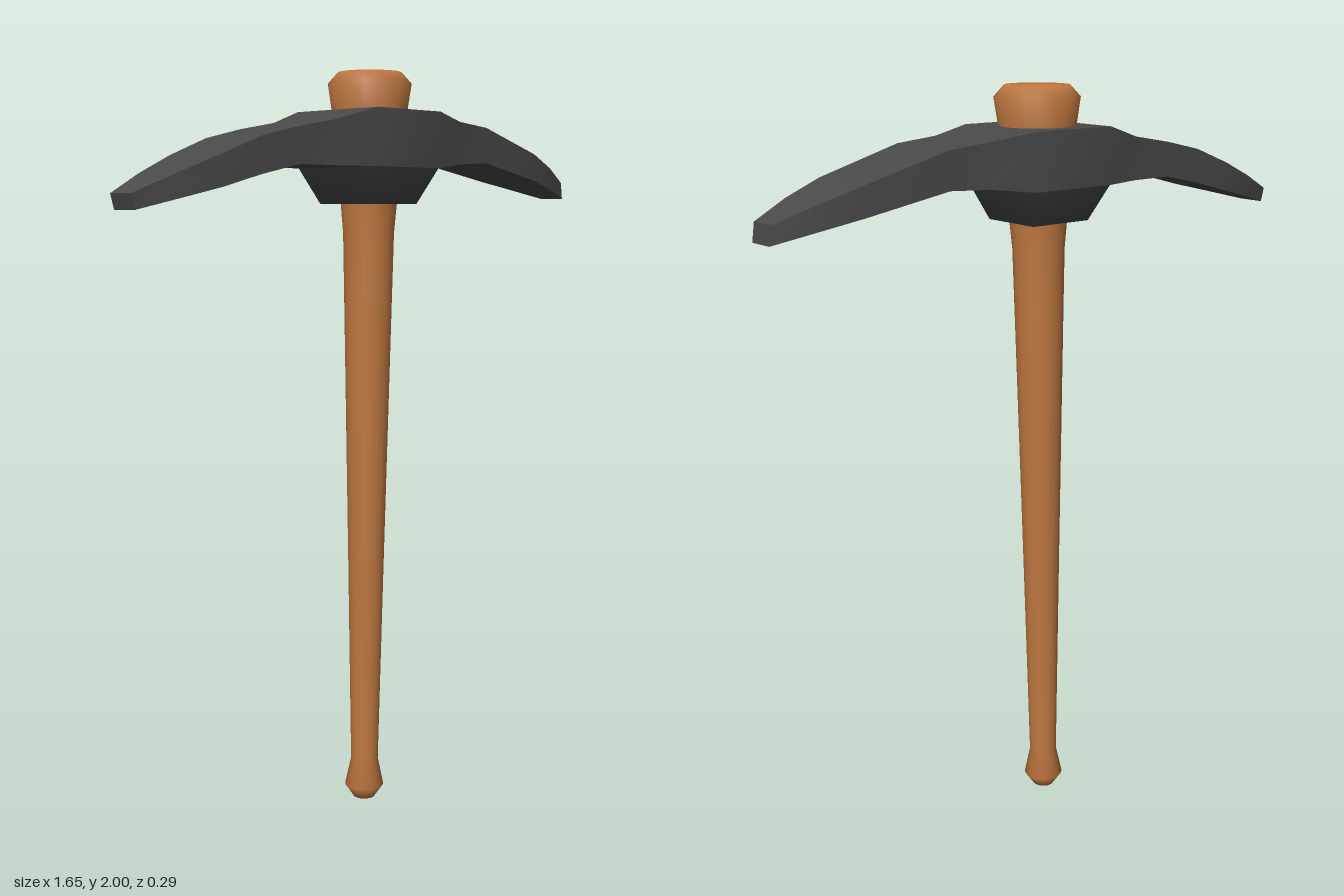
import * as THREE from 'three';
import { toCreasedNormals } from 'three/addons/utils/BufferGeometryUtils.js';

const wood = new THREE.MeshStandardMaterial({ color: 0xbf7840 });
wood.name = 'wood';
const iron = new THREE.MeshStandardMaterial({ color: 0x4a4a4a });
iron.name = 'iron';

// Skin a row of four-cornered rings, closing both ends
function loft(rings, creaseAngle) {
  const pos = [];
  const quad = (a, b, c, d) => pos.push(...a, ...b, ...c, ...a, ...c, ...d);
  for (let i = 0; i < rings.length - 1; i++) {
    const p = rings[i], q = rings[i + 1];
    for (let k = 0; k < 4; k++) {
      const n = (k + 1) % 4;
      quad(p[k], q[k], q[n], p[n]);
    }
  }
  quad(...rings[0]);
  quad(...[...rings[rings.length - 1]].reverse());
  const geo = new THREE.BufferGeometry();
  geo.setAttribute('position', new THREE.Float32BufferAttribute(pos, 3));
  return toCreasedNormals(geo, creaseAngle);
}

function addMesh(group, name, geo, material) {
  const mesh = new THREE.Mesh(geo, material);
  mesh.name = name;
  group.add(mesh);
}

export function createModel() {
  const group = new THREE.Group();
  group.name = 'pickaxe';

  // Turned handle with a pommel and a flared top, leaning slightly along x
  const profile = [
    [0, 0], [0.03, 0], [0.054, 0.035], [0.038, 0.11], [0.05, 0.7], [0.065, 1.4],
    [0.069, 1.58], [0.078, 1.68], [0.1, 1.89], [0.112, 1.97], [0.085, 2], [0, 2],
  ].map(([r, y]) => new THREE.Vector2(r, y));
  const handle = new THREE.LatheGeometry(profile, 20);
  const p = handle.attributes.position;
  for (let i = 0; i < p.count; i++) p.setX(i, p.getX(i) - 0.018 + 0.0115 * p.getY(i));
  addMesh(group, 'handle', handle, wood);

  // Curved double-ended head: top x, bottom x, top y, bottom y, half depth
  const sections = [
    [-0.825, -0.815, 1.676, 1.638, 0.04],
    [-0.715, -0.71, 1.724, 1.665, 0.074],
    [-0.6, -0.6, 1.77, 1.692, 0.098],
    [-0.48, -0.48, 1.815, 1.724, 0.103],
    [-0.36, -0.36, 1.842, 1.75, 0.109],
    [-0.24, -0.24, 1.863, 1.75, 0.112],
    [-0.12, -0.12, 1.898, 1.75, 0.145],
    [0.125, 0.125, 1.898, 1.75, 0.145],
    [0.245, 0.245, 1.878, 1.764, 0.112],
    [0.364, 0.364, 1.867, 1.77, 0.109],
    [0.6, 0.6, 1.802, 1.726, 0.098],
    [0.71, 0.715, 1.765, 1.702, 0.074],
    [0.816, 0.823, 1.724, 1.676, 0.038],
  ];
  const rings = sections.map(([xt, xb, t, b, d]) => [
    [xt, t, -d], [xb, b, -d], [xb, b, d], [xt, t, d],
  ]);
  addMesh(group, 'pickHead', loft(rings, 0.5), iron);

  // Tapered square collar beneath the head, softly shaded around its corners
  const square = (x, y, z) => [[-x, y, -z], [x, y, -z], [x, y, z], [-x, y, z]];
  addMesh(group, 'collar', loft([square(0.092, 1.656, 0.09), square(0.12, 1.752, 0.145)], 1.8), iron);
  return group;
}
